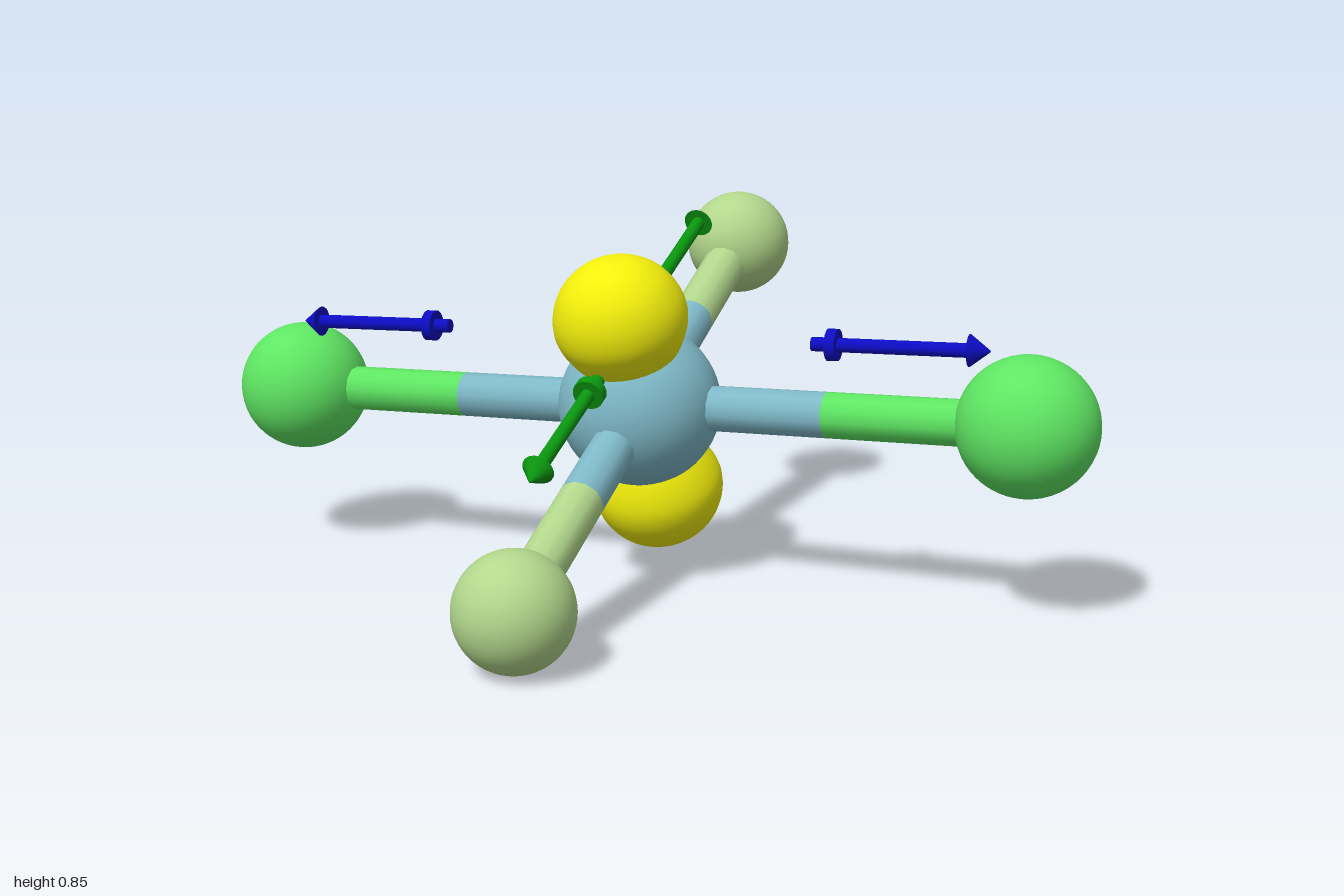
import * as THREE from 'three';

const UP = new THREE.Vector3(0, 1, 0);
const CENTRE = new THREE.Vector3(0, 0.43, 0);
const mat = (color, extra = {}) => new THREE.MeshStandardMaterial({ color, ...extra });
const vec = (p) => new THREE.Vector3(...p);

const COLORS = { core: 0x7fb9c8, large: 0x5fe663, small: 0xb2d78c, lobe: 0xf2ee0c, blue: 0x0c0cc4, green: 0x0a960f };

function ball(name, position, radius, color) {
  const mesh = new THREE.Mesh(new THREE.SphereGeometry(radius, 40, 28), mat(color));
  mesh.position.copy(position);
  mesh.name = name;
  return mesh;
}

// Cylinder or cone running from a to b
function rod(name, a, b, rStart, rEnd, color, sides = 12) {
  const dir = b.clone().sub(a);
  const mesh = new THREE.Mesh(
    new THREE.CylinderGeometry(rEnd, rStart, dir.length(), sides),
    mat(color)
  );
  mesh.position.copy(a).add(b).multiplyScalar(0.5);
  mesh.quaternion.setFromUnitVectors(UP, dir.normalize());
  mesh.name = name;
  return mesh;
}

// Outer atom with its two-coloured bond to the core
function bondedAtom(name, position, radius, color) {
  const group = new THREE.Group();
  group.name = name;
  const end = vec(position);
  const mid = CENTRE.clone().lerp(end, 0.5);
  group.add(
    rod('innerBond', CENTRE, mid, 0.053, 0.053, COLORS.core),
    rod('outerBond', mid, end, 0.053, 0.053, color),
    ball('atom', end, radius, color)
  );
  return group;
}

// Arrow with a conical head and a small disc crossing its tail
function dipoleArrow(name, tail, tip, color) {
  const group = new THREE.Group();
  group.name = name;
  const a = vec(tail), b = vec(tip);
  const dir = b.clone().sub(a).normalize();
  const along = (from, d) => from.clone().addScaledVector(dir, d);
  group.add(
    rod('shaft', a, along(b, -0.03), 0.016, 0.016, color),
    rod('head', along(b, -0.045), b, 0.036, 0.002, color, 16),
    rod('tailDisc', along(a, 0.037), along(a, 0.06), 0.036, 0.036, color, 16)
  );
  return group;
}

// Pear-shaped lobe growing out of the core
function lobe(name, direction) {
  const profile = new THREE.SplineCurve([
    [0, 0], [0.045, 0.05], [0.09, 0.1], [0.126, 0.15], [0.148, 0.195],
    [0.155, 0.235], [0.146, 0.282], [0.117, 0.33], [0.066, 0.367], [0, 0.383]
  ].map(([r, d]) => new THREE.Vector2(r, d))).getPoints(36);
  profile.forEach((p) => { p.x = Math.max(p.x, 0); });
  const mesh = new THREE.Mesh(
    new THREE.LatheGeometry(profile, 40),
    mat(COLORS.lobe, { side: THREE.DoubleSide })
  );
  mesh.position.copy(CENTRE);
  mesh.quaternion.setFromUnitVectors(UP, direction.normalize());
  mesh.name = name;
  return mesh;
}

export function createModel() {
  const model = new THREE.Group();
  model.name = 'molecule';

  model.add(ball('coreAtom', CENTRE, 0.19, COLORS.core));

  // Two pairs of opposite atoms in one tilted plane
  model.add(
    bondedAtom('largeAtomLeft', [0.842, 0.455, -0.335], 0.157, COLORS.large),
    bondedAtom('largeAtomRight', [-0.842, 0.405, 0.335], 0.157, COLORS.large),
    bondedAtom('smallAtomFront', [0.262, 0.135, 0.642], 0.131, COLORS.small),
    bondedAtom('smallAtomBack', [-0.262, 0.725, -0.642], 0.131, COLORS.small)
  );

  // Lobes perpendicular to the plane
  const axis = new THREE.Vector3(0.024, 0.21, 0.087);
  model.add(lobe('upperLobe', axis.clone()), lobe('lowerLobe', axis.clone().negate()));

  // Arrows floating beside each bond
  model.add(
    dipoleArrow('blueArrowLeft', [0.437, 0.617, -0.092], [0.805, 0.629, -0.237], COLORS.blue),
    dipoleArrow('blueArrowRight', [-0.393, 0.597, 0.239], [-0.761, 0.584, 0.386], COLORS.blue),
    dipoleArrow('greenArrowFront', [0.088, 0.532, 0.225], [0.22, 0.385, 0.555], COLORS.green),
    dipoleArrow('greenArrowBack', [-0.042, 0.675, -0.08], [-0.173, 0.826, -0.41], COLORS.green)
  );

  return model;
}
